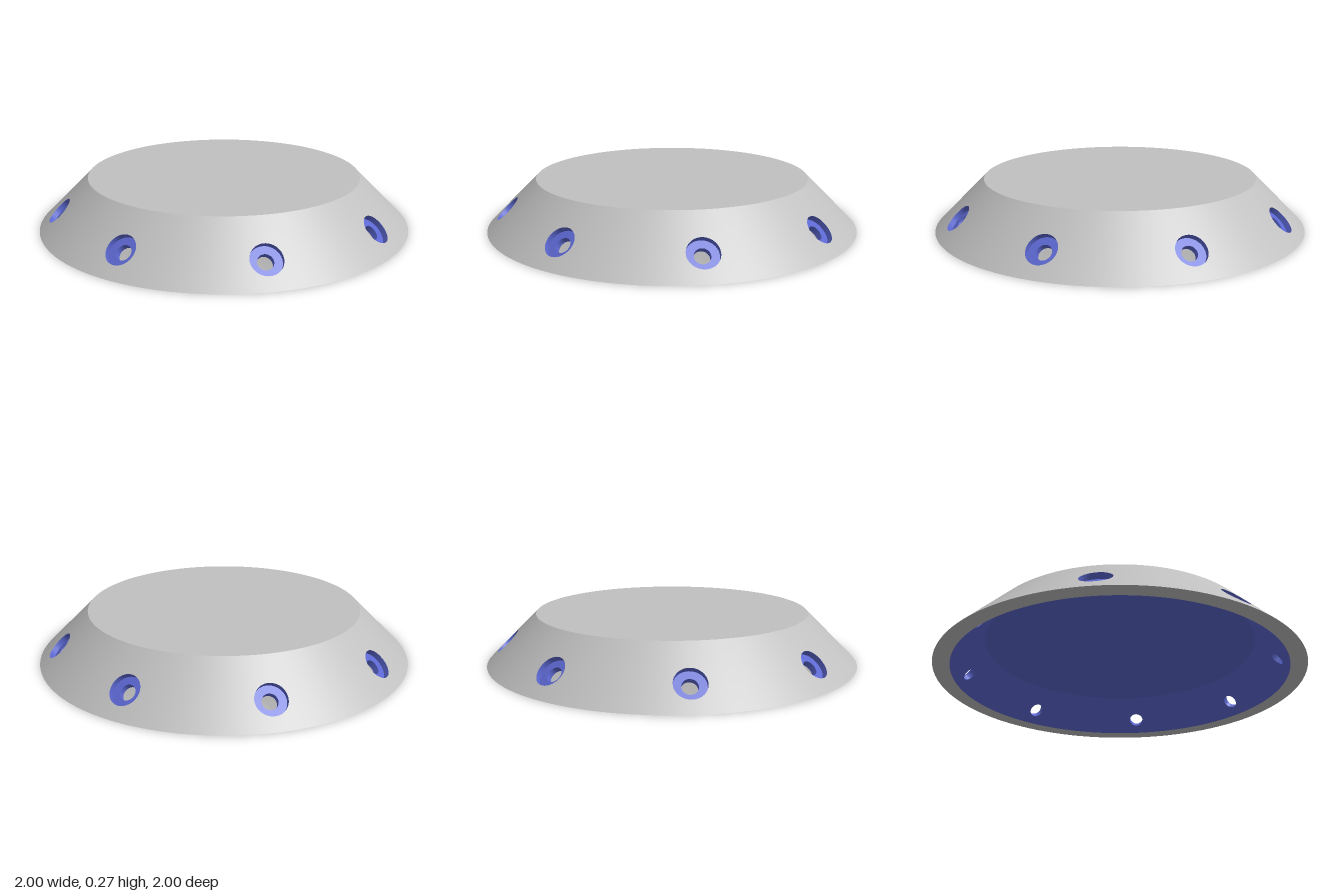
import * as THREE from 'three';

const grey = new THREE.MeshStandardMaterial({ color: 0xc0c0c0 });
grey.name = 'grey shell';
const blue = new THREE.MeshStandardMaterial({ color: 0x5b67d0 });
blue.name = 'blue inside';

const HOLES = 8, SIDE = 16, N = SIDE * 4, S = Math.SQRT1_2;
const OUTER = { base: 1, height: 0.267 };      // 45 degree cones: radius = base - y
const INNER = { base: 0.91, height: 0.174 };
const HOLE_Y = 0.11, BORE_R = 0.08, HOLE_R = 0.04, BORE_DEPTH = 0.032;

// Joins closed rings of points with quads
function loft(rings, flip = false) {
  const pos = [], idx = [];
  for (const ring of rings) for (const p of ring) pos.push(p.x, p.y, p.z);
  for (let j = 0; j < rings.length - 1; j++) {
    for (let i = 0; i < N; i++) {
      const k = (i + 1) % N;
      const a = j * N + i, b = j * N + k, c = a + N, d = b + N;
      if (flip) idx.push(a, d, b, a, c, d);
      else idx.push(a, b, d, a, d, c);
    }
  }
  const g = new THREE.BufferGeometry();
  g.setAttribute('position', new THREE.Float32BufferAttribute(pos, 3));
  g.setIndex(idx);
  g.computeVertexNormals();
  return g;
}

// Flat circle across the hole axis, at a depth below the sloping surface
function circle(r, depth) {
  return Array.from({ length: N }, (_, i) => {
    const a = -0.75 * Math.PI + (i / N) * Math.PI * 2;
    const up = r * Math.sin(a);
    return new THREE.Vector3(r * Math.cos(a),
      HOLE_Y + (up - depth) * S,
      OUTER.base - HOLE_Y - (up + depth) * S);
  });
}

// The same circle slid along the hole axis until it lies on a cone
function rimOn(cone, r) {
  return circle(r, 0).map(p => {
    const A = cone.base - p.y;
    const k = (A * A - p.z * p.z - p.x * p.x) / (2 * (p.z + A));
    return new THREE.Vector3(p.x, p.y + k, p.z + k);
  });
}

// One sector of a cone wall with a hole, spread from the sector border to the rim
function wallSector(cone, rim, flip) {
  const half = Math.PI / HOLES, steps = 8, rings = [];
  const border = i => {
    const t = (i % SIDE) / SIDE;
    return [[t, 0], [1, t], [1 - t, 1], [0, 1 - t]][Math.floor(i / SIDE)];
  };
  for (let j = 0; j <= steps; j++) {
    const f = j / steps;
    rings.push(rim.map((p, i) => {
      const [u, v] = border(i);
      const th = THREE.MathUtils.lerp((u * 2 - 1) * half, Math.atan2(p.x, p.z), f);
      const y = THREE.MathUtils.lerp(v * cone.height, p.y, f);
      const r = cone.base - y;
      return new THREE.Vector3(r * Math.sin(th), y, r * Math.cos(th));
    }));
  }
  const g = loft(rings, flip);
  const pos = g.attributes.position, s = flip ? -S : S;
  for (let i = 0; i < pos.count; i++) {
    const x = pos.getX(i), z = pos.getZ(i), r = Math.hypot(x, z);
    g.attributes.normal.setXYZ(i, s * x / r, s, s * z / r);
  }
  return g;
}

export function createModel() {
  const model = new THREE.Group();
  model.name = 'perforatedCover';
  const add = (parent, name, geometry, material) => {
    const m = new THREE.Mesh(geometry, material);
    m.name = name;
    parent.add(m);
    return m;
  };

  // Flat top, ceiling and bottom rim
  const segs = HOLES * SIDE;
  const disc = r => new THREE.CircleGeometry(r, segs);
  add(model, 'topDisc', disc(OUTER.base - OUTER.height).rotateX(-Math.PI / 2), grey)
    .position.y = OUTER.height;
  add(model, 'ceiling', disc(INNER.base - INNER.height).rotateX(Math.PI / 2), blue)
    .position.y = INNER.height;
  add(model, 'bottomRim',
    new THREE.RingGeometry(INNER.base, OUTER.base, segs).rotateX(Math.PI / 2), grey);

  // Sloping wall sectors, each with a stepped hole
  const outerRim = rimOn(OUTER, BORE_R), innerRim = rimOn(INNER, HOLE_R);
  const stepOuter = circle(BORE_R, BORE_DEPTH), stepInner = circle(HOLE_R, BORE_DEPTH);
  const parts = [
    ['outerWall', wallSector(OUTER, outerRim, false), grey],
    ['innerWall', wallSector(INNER, innerRim, true), blue],
    ['recessWall', loft([outerRim, stepOuter]), blue],
    ['recessFloor', loft([stepOuter, stepInner]), blue],
    ['throughHole', loft([stepInner, innerRim]), blue],
  ];
  for (let h = 0; h < HOLES; h++) {
    const sector = new THREE.Group();
    sector.name = 'wallSector' + (h + 1);
    sector.rotation.y = (h / HOLES) * Math.PI * 2;
    for (const [name, geometry, material] of parts) add(sector, name, geometry, material);
    model.add(sector);
  }
  return model;
}
